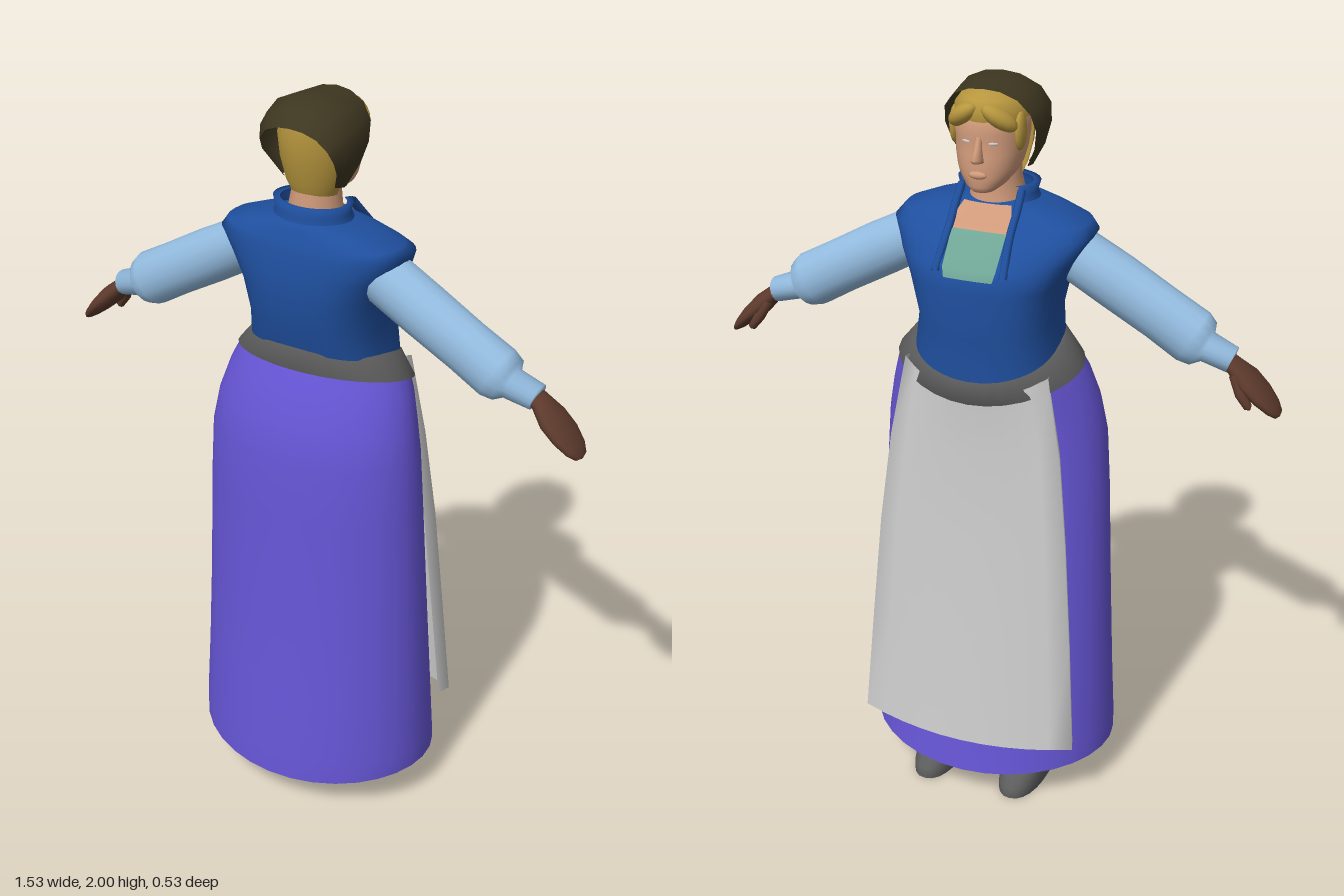
import * as THREE from 'three';

const mat = (name, color, double) => {
  const m = new THREE.MeshStandardMaterial({ color });
  m.name = name;
  if (double) m.side = THREE.DoubleSide;
  return m;
};

// Surface through a grid of points fn(i, j); closed in j when wrap is set.
function grid(rows, cols, fn, wrap = false, flip = false) {
  const pos = [], idx = [];
  for (let i = 0; i < rows; i++) for (let j = 0; j < cols; j++) pos.push(...fn(i, j));
  for (let i = 0; i < rows - 1; i++) {
    for (let j = 0; j < (wrap ? cols : cols - 1); j++) {
      const k = (j + 1) % cols;
      const a = i * cols + j, b = i * cols + k, c = a + cols, d = b + cols;
      if (flip) idx.push(a, b, c, b, d, c);
      else idx.push(a, c, b, b, c, d);
    }
  }
  const g = new THREE.BufferGeometry();
  g.setAttribute('position', new THREE.Float32BufferAttribute(pos, 3));
  g.setIndex(idx);
  g.computeVertexNormals();
  return g;
}

// Point on a horizontal ring [y, rx, zFront, zBack, frontDip, sag]; angle 0 is the front (-z).
function ringPoint([y, rx, zf, zb, dip = 0, sag = 0], a, n = 2, grow = 0) {
  const s = Math.sin(a), c = Math.cos(a), f = (1 + c) / 2;
  const p = (v) => Math.sign(v) * Math.abs(v) ** (2 / n);
  return [
    (rx + grow) * p(s),
    y - dip * (0.57 * f + 0.43 * f ** 4) - sag * c * c,
    (zf + zb) / 2 - ((zb - zf) / 2 + grow) * p(c),
  ];
}

const loft = (rings, n = 2, seg = 32) =>
  grid(rings.length, seg, (i, j) => ringPoint(rings[i], (j / seg) * Math.PI * 2, n), true);

// Part of a lofted surface between angles from and to.
const openLoft = (rings, from, to, n = 2, seg = 24) =>
  grid(rings.length, seg + 1, (i, j) => ringPoint(rings[i], from + ((to - from) * j) / seg, n));

// Limb through sections [x, y, z, radius, depthRadius]; side -1 mirrors it.
function limb(sec, side, seg = 16) {
  return grid(sec.length, seg, (i, j) => {
    const a = sec[Math.max(i - 1, 0)], b = sec[Math.min(i + 1, sec.length - 1)];
    const dx = b[0] - a[0], dy = b[1] - a[1], l = Math.hypot(dx, dy);
    const [x, y, z, r, rz] = sec[i], t = (j / seg) * Math.PI * 2, k = r * Math.cos(t);
    return [side * (x - (dy / l) * k), y + (dx / l) * k, z - rz * Math.sin(t)];
  }, true, side < 0);
}

function ringAt(rings, y) {
  let i = 0;
  while (i < rings.length - 2 && rings[i + 1][0] < y) i++;
  const a = rings[i], b = rings[i + 1], t = (y - a[0]) / (b[0] - a[0]);
  return [0, 1, 2, 3].map((k) => a[k] + (b[k] - a[k]) * t);
}

export function createModel() {
  const model = new THREE.Group();
  model.name = 'woman';
  const skin = mat('skin', 0xd09a7a, true), hairMat = mat('hair', 0xb8973e, true);
  const scarfMat = mat('scarf', 0x3d3620, true), blue = mat('bodice blue', 0x1f4f9e, true);
  const paleBlue = mat('sleeve blue', 0x94bce0), purple = mat('skirt purple', 0x6656d6, true);
  const grey = mat('dark grey', 0x5c5c5c), white = mat('apron white', 0xcccccc, true);
  const brown = mat('hand brown', 0x5d3a2c), teal = mat('blouse teal', 0x6fa595, true);
  const add = (name, geo, material) => {
    const m = new THREE.Mesh(geo, material);
    m.name = name;
    model.add(m);
    return m;
  };

  // Skirt, open at the hem
  add('skirt', loft([
    [0.115, 0.345, -0.26, 0.265, 0, 0.025], [0.17, 0.345, -0.25, 0.262], [0.35, 0.336, -0.232, 0.246],
    [0.6, 0.325, -0.205, 0.227], [0.9, 0.312, -0.18, 0.217], [1.06, 0.302, -0.172, 0.212],
    [1.16, 0.285, -0.172, 0.195, 0.02], [1.25, 0.262, -0.18, 0.162, 0.06], [1.31, 0.24, -0.188, 0.135, 0.105],
  ]), purple);

  // Belt dipping to a point at the front
  add('belt', loft([
    [1.3, 0.235, -0.185, 0.13, 0.105], [1.3, 0.252, -0.2, 0.142, 0.105],
    [1.358, 0.204, -0.205, 0.136, 0.105], [1.36, 0.18, -0.18, 0.12, 0.105],
  ]), grey);

  // Apron: rows [centre y, edge y, half width, centre z, edge z], edges turned back to the skirt
  const apron = [
    [0.195, 0.205, 0.305, -0.267, -0.213], [0.5, 0.5, 0.285, -0.233, -0.193], [0.8, 0.8, 0.262, -0.208, -0.175],
    [1.05, 1.05, 0.235, -0.188, -0.155], [1.215, 1.275, 0.195, -0.193, -0.14],
  ];
  add('apron', grid(apron.length, 13, (i, j) => {
    const [yc, ye, w, zc, ze] = apron[i];
    const u = THREE.MathUtils.clamp((j - 6) / 5, -1, 1), fold = j === 0 || j === 12;
    return [u * (fold ? w - 0.012 : w), yc + (ye - yc) * u * u, zc + (ze - zc) * u * u + (fold ? 0.04 : 0)];
  }), white);

  // Bodice
  const bodice = [
    [1.35, 0.19, -0.19, 0.128, 0.105], [1.42, 0.18, -0.19, 0.147, 0.05], [1.5, 0.2, -0.205, 0.157],
    [1.56, 0.23, -0.182, 0.155], [1.62, 0.265, -0.125, 0.145], [1.645, 0.245, -0.095, 0.135],
    [1.67, 0.18, -0.075, 0.125], [1.69, 0.105, -0.055, 0.115], [1.7, 0.02, 0.02, 0.04],
  ];
  add('bodice', loft(bodice, 2.6, 40), blue);

  // Panels lying on the bodice: rows [y, half angle]
  const panel = (name, rows, material) => add(name, grid(rows.length, 9, (i, j) =>
    ringPoint(ringAt(bodice, rows[i][0]), rows[i][1] * (j / 4 - 1), 2.6, 0.006)), material);
  panel('blousePanel', [[1.535, 0.2], [1.56, 0.21], [1.62, 0.18], [1.635, 0.19]], teal);
  panel('chestSkin', [[1.635, 0.19], [1.645, 0.2], [1.67, 0.3], [1.69, 0.5]], skin);

  // Collar and its front edges
  add('collar', openLoft([
    [1.675, 0.115, -0.065, 0.118], [1.705, 0.1, -0.05, 0.11], [1.73, 0.108, -0.05, 0.11], [1.728, 0.09, -0.035, 0.095],
  ], 0.75, Math.PI * 2 - 0.75), blue);
  for (const s of [-1, 1]) {
    const path = new THREE.CatmullRomCurve3([
      [0.09, 1.545, -0.185], [0.082, 1.63, -0.115], [0.082, 1.68, -0.065], [0.08, 1.722, -0.025],
    ].map(([x, y, z]) => new THREE.Vector3(s * x, y, z)));
    add('necklineEdge', new THREE.TubeGeometry(path, 10, 0.011, 6), blue);
  }

  // Neck and face
  add('neck', loft([
    [1.62, 0.085, -0.07, 0.09], [1.7, 0.07, -0.05, 0.09], [1.75, 0.062, -0.05, 0.08], [1.8, 0.06, -0.05, 0.08],
  ]), skin);
  add('face', loft([
    [1.732, 0.005, -0.09, -0.07], [1.735, 0.03, -0.112, -0.03], [1.75, 0.05, -0.121, 0],
    [1.775, 0.07, -0.121, 0.04], [1.795, 0.079, -0.122, 0.065], [1.83, 0.087, -0.12, 0.08],
    [1.865, 0.09, -0.114, 0.09], [1.885, 0.091, -0.12, 0.09], [1.93, 0.088, -0.112, 0.09],
    [1.965, 0.05, -0.07, 0.06], [1.97, 0.005, 0, 0.01],
  ], 2.2), skin);
  add('nose', loft([
    [1.812, 0.003, -0.125, -0.11], [1.817, 0.016, -0.14, -0.1], [1.827, 0.015, -0.148, -0.1],
    [1.85, 0.01, -0.133, -0.1], [1.88, 0.008, -0.12, -0.1],
  ], 2, 12), skin);
  add('lips', new THREE.SphereGeometry(1, 12, 8), skin).scale.set(0.024, 0.01, 0.009);
  model.getObjectByName('lips').position.set(0, 1.783, -0.121);

  // Hair: shell round the back of the head, crown and fringe
  add('backHair', openLoft([
    [1.745, 0.062, -0.05, 0.075], [1.78, 0.077, -0.06, 0.09], [1.84, 0.094, -0.09, 0.105],
    [1.9, 0.099, -0.11, 0.115], [1.94, 0.09, -0.11, 0.11],
  ], 1.65, Math.PI * 2 - 1.65), hairMat);
  add('crownHair', loft([
    [1.915, 0.096, -0.115, 0.1], [1.94, 0.094, -0.12, 0.1], [1.965, 0.075, -0.108, 0.08],
    [1.98, 0.045, -0.085, 0.05], [1.985, 0.005, -0.03, 0.01],
  ]), hairMat);
  for (const s of [-1, 1]) {
    const lock = add('fringe', new THREE.SphereGeometry(1, 16, 12), hairMat);
    lock.scale.set(0.052, 0.024, 0.03);
    lock.position.set(s * 0.047, 1.925, -0.095);
    lock.rotation.set(0, s * -0.5, s * -0.6);
    const temple = add('templeHair', new THREE.SphereGeometry(1, 12, 10), hairMat);
    temple.scale.set(0.014, 0.05, 0.028);
    temple.position.set(s * 0.085, 1.885, -0.05);
    const eye = add('eye', new THREE.SphereGeometry(1, 10, 8), white);
    eye.scale.set(0.013, 0.005, 0.004);
    eye.position.set(s * 0.035, 1.862, -0.106);
    eye.rotation.y = s * -0.35;
  }

  // Headscarf: half profile [x, y, front z, back z] mirrored over the crown
  const half = [
    [0.09, 1.775, 0.005, 0.045], [0.118, 1.83, -0.015, 0.072], [0.13, 1.885, -0.035, 0.1], [0.122, 1.935, -0.055, 0.12],
    [0.09, 1.975, -0.068, 0.13], [0.045, 1.995, -0.076, 0.135],
  ];
  const scarf = [...half, [0, 2, -0.08, 0.137], ...half.slice().reverse().map(([x, ...r]) => [-x, ...r])];
  const along = [0, 0.3, 0.6, 0.85, 1], shrink = [0.92, 0.98, 1, 0.92, 0.8];
  add('headscarf', grid(scarf.length, 5, (i, j) => {
    const [x, y, zf, zb] = scarf[i], k = shrink[j], drop = Math.max(0, y - 1.8);
    return [x * k, y - drop * (1 - k) * 1.5 + (j === 0 ? 0.012 * drop / 0.2 : 0), zf + (zb - zf) * along[j]];
  }), scarfMat);

  for (const s of [-1, 1]) {
    // Sleeve with gathered end and narrow cuff
    add('sleeve', limb([
      [0.19, 1.57, 0.02, 0.07, 0.074], [0.32, 1.498, 0.02, 0.074, 0.068], [0.44, 1.43, 0.018, 0.073, 0.062],
      [0.525, 1.381, 0.015, 0.075, 0.064], [0.552, 1.366, 0.012, 0.064, 0.06], [0.565, 1.36, 0.012, 0.039, 0.046],
      [0.632, 1.338, 0.005, 0.034, 0.04], [0.634, 1.337, 0.005, 0.001, 0.001],
    ], s), paleBlue);
    // Hand and thumb
    add('hand', limb([
      [0.6, 1.355, 0, 0.018, 0.03], [0.64, 1.325, 0, 0.022, 0.035], [0.675, 1.292, 0.003, 0.027, 0.055],
      [0.712, 1.257, 0.003, 0.023, 0.056], [0.742, 1.227, 0.003, 0.016, 0.044],
      [0.758, 1.21, 0.003, 0.009, 0.026], [0.762, 1.206, 0.003, 0.001, 0.003],
    ], s), brown);
    add('thumb', limb([
      [0.645, 1.315, -0.025, 0.015, 0.015], [0.668, 1.27, -0.04, 0.015, 0.016],
      [0.69, 1.238, -0.043, 0.011, 0.012], [0.695, 1.231, -0.043, 0.001, 0.001],
    ], s, 10), brown);
    // Boot
    add('boot', loft([
      [0, 0.002, -0.07, -0.06], [0, 0.06, -0.222, 0.088], [0.001, 0.063, -0.225, 0.09], [0.03, 0.063, -0.222, 0.09],
      [0.06, 0.061, -0.185, 0.086], [0.09, 0.058, -0.115, 0.08], [0.12, 0.055, -0.065, 0.075],
      [0.2, 0.054, -0.05, 0.07], [0.45, 0.065, -0.06, 0.08], [0.46, 0.002, 0, 0.01],
    ], 2.3, 24), grey).position.x = s * 0.128;
  }
  return model;
}
